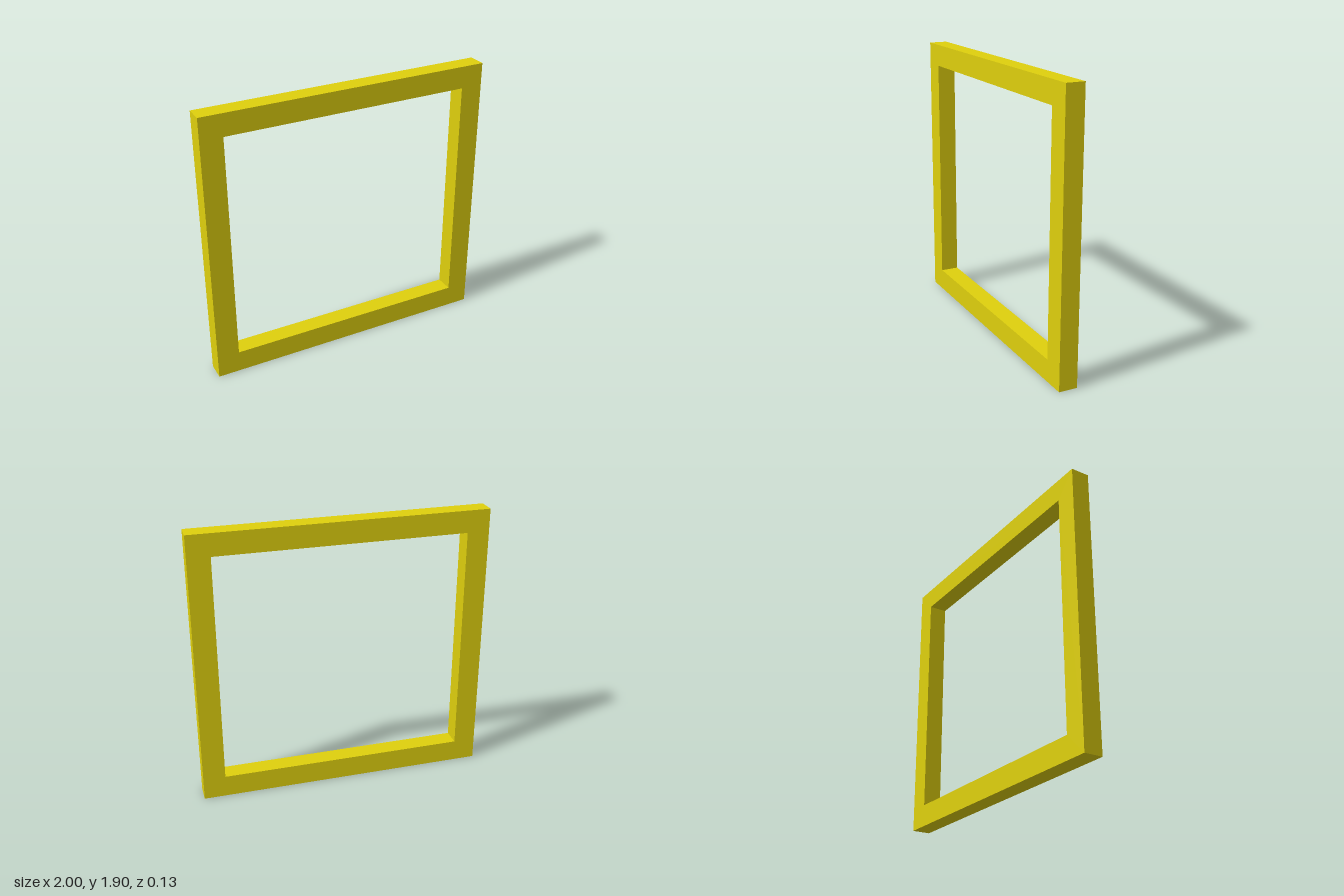
import * as THREE from 'three';

const WIDTH = 2, HEIGHT = 1.905, DEPTH = 0.127, BAR = 0.152;

// Adds a closed rectangle to a shape or hole path
function rectangle(path, x0, y0, x1, y1) {
  path.moveTo(x0, y0);
  path.lineTo(x1, y0);
  path.lineTo(x1, y1);
  path.lineTo(x0, y1);
  path.closePath();
  return path;
}

export function createModel() {
  const group = new THREE.Group();
  group.name = 'squareFrame';

  // One-piece frame: outer rectangle with the opening cut through it
  const half = WIDTH / 2;
  const outline = rectangle(new THREE.Shape(), -half, 0, half, HEIGHT);
  outline.holes.push(rectangle(new THREE.Path(), -half + BAR, BAR, half - BAR, HEIGHT - BAR));

  const geometry = new THREE.ExtrudeGeometry(outline, { depth: DEPTH, bevelEnabled: false });
  geometry.translate(0, 0, -DEPTH / 2);

  const frame = new THREE.Mesh(geometry, new THREE.MeshStandardMaterial({ color: 0xdfd00d }));
  frame.name = 'frame';
  group.add(frame);
  return group;
}
